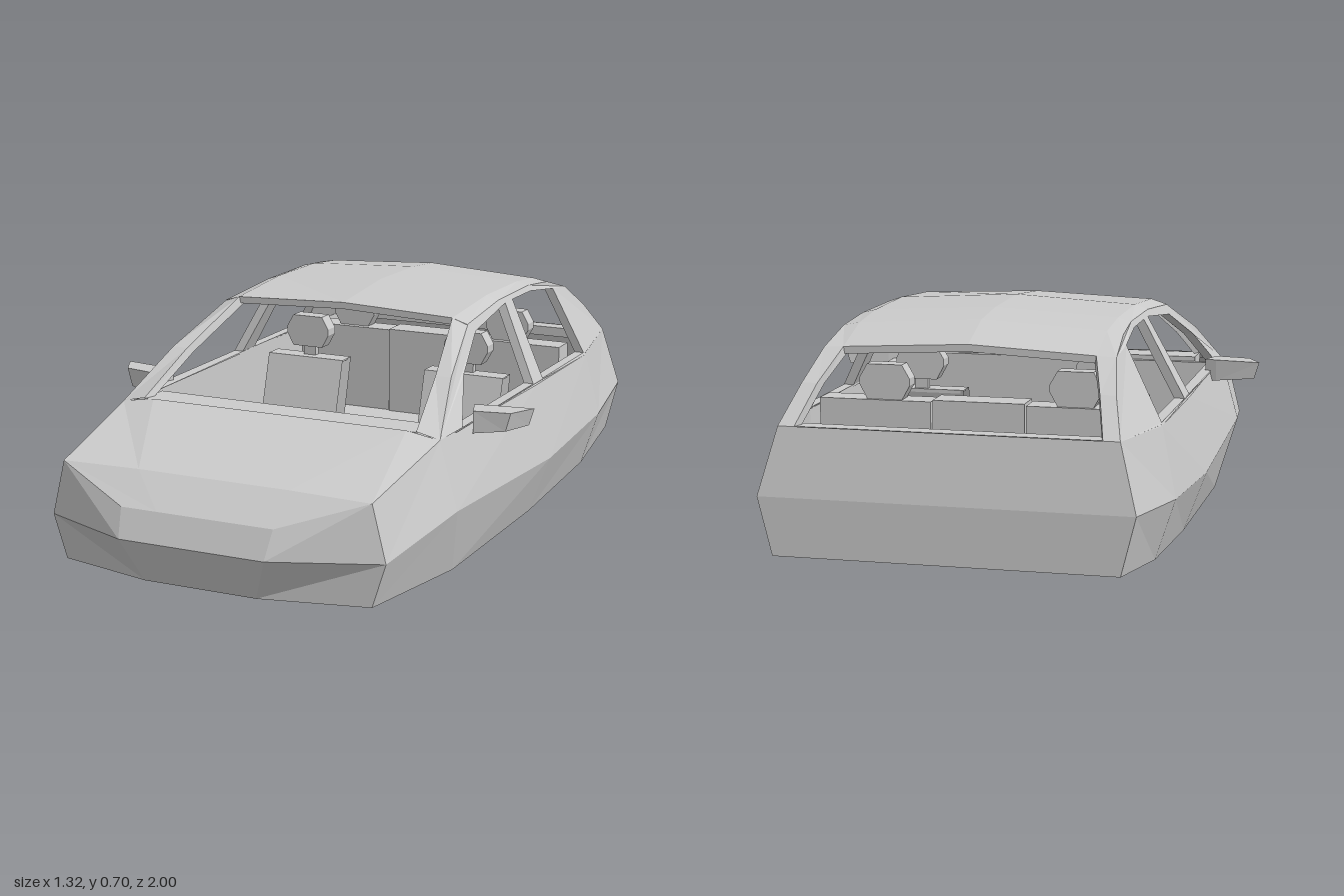
import * as THREE from 'three';

const mat = new THREE.MeshStandardMaterial({ color: 0xcccccc, flatShading: true, side: THREE.DoubleSide });
const flip = (p) => [-p[0], p[1], p[2]];

// Faceted sheet lofted through rows of points
function skin(rows) {
  const v = [];
  for (let i = 0; i + 1 < rows.length; i++) {
    for (let j = 0; j + 1 < rows[i].length; j++) {
      const a = rows[i][j], b = rows[i][j + 1], c = rows[i + 1][j + 1], d = rows[i + 1][j];
      v.push(...a, ...b, ...c, ...a, ...c, ...d);
    }
  }
  const g = new THREE.BufferGeometry();
  g.setAttribute('position', new THREE.Float32BufferAttribute(v, 3));
  g.computeVertexNormals();
  return g;
}

const outline = (pts) => pts.map((p) => new THREE.Vector2(p[0], p[1]));

// Half-width of the glasshouse: leans in with height, narrows at both ends
function sideX(z, y) {
  const taper = z < -0.65 ? 1 + (z + 0.65) * 0.28 : z > 0.35 ? 1 - (z - 0.35) * 0.12 : 1;
  return (0.51 - (y - 0.42) * 0.5) * taper;
}
const onSide = (z, y) => [sideX(z, y), y, z];

export function createModel() {
  const car = new THREE.Group();
  car.name = 'car';
  const add = (name, geo, parent = car) => {
    const m = new THREE.Mesh(geo, mat);
    m.name = name;
    parent.add(m);
    return m;
  };
  const pair = (name, geo) => {
    add(name + 'Left', geo);
    add(name + 'Right', geo).scale.x = -1;
  };
  const box = (name, x0, x1, y0, y1, z0, z1, parent = car) => {
    const g = new THREE.BoxGeometry(x1 - x0, y1 - y0, z1 - z0);
    g.translate((x0 + x1) / 2, (y0 + y1) / 2, (z0 + z1) / 2);
    return add(name, g, parent);
  };

  // Lower body stations: sill, widest line, shoulder
  const stations = [
    [[0.17, 0.06, 0.95], [0.22, 0.185, 1], [0.23, 0.265, 0.965]],
    [[0.47, 0.055, 0.87], [0.51, 0.18, 0.87], [0.47, 0.34, 0.87]],
    [[0.5, 0.018, 0.4], [0.555, 0.225, 0.5], onSide(0.5, 0.42)],
    [[0.5, 0.02, -0.2], [0.565, 0.195, -0.2], onSide(-0.2, 0.415)],
    [[0.5, 0.05, -0.67], [0.555, 0.22, -0.67], onSide(-0.65, 0.415)],
    [[0.47, 0.085, -1], [0.51, 0.245, -1], onSide(-0.965, 0.43)],
  ];
  pair('bodySide', skin(stations));
  add('floorPan', skin(stations.map(([b]) => [b, flip(b)])));
  add('frontBumper', skin([stations[0], stations[0].map(flip)]));
  add('tailgate', skin([stations[5], stations[5].map(flip)]));

  // Bonnet with a slightly raised centre
  const crown = [[0.12, 0.265, 0.965], [0.23, 0.345, 0.87], [0.4, 0.436, 0.5]];
  add('bonnet', skin(crown.map((t, i) => [stations[i][2], t, flip(t), flip(stations[i][2])])));

  // Side frames with two window openings, bent to the glasshouse lean
  const frame = new THREE.Shape(outline([
    [0.5, 0.42], [0.3, 0.545], [0.06, 0.645], [-0.2, 0.665], [-0.45, 0.665], [-0.6, 0.65],
    [-0.74, 0.61], [-0.86, 0.53], [-0.965, 0.43], [-0.65, 0.415], [-0.2, 0.415],
  ]));
  frame.holes.push(
    new THREE.Path(outline([[0.36, 0.422], [0.22, 0.535], [0.03, 0.62], [-0.24, 0.65], [-0.19, 0.422]])),
    new THREE.Path(outline([[-0.27, 0.422], [-0.3, 0.65], [-0.45, 0.648], [-0.62, 0.625], [-0.64, 0.422]])),
  );
  const side = new THREE.ExtrudeGeometry(frame, { depth: 0.03, bevelEnabled: false });
  const p = side.attributes.position;
  for (let i = 0; i < p.count; i++) {
    const z = p.getX(i), y = p.getY(i);
    p.setXYZ(i, sideX(z, y) - p.getZ(i), y, z);
  }
  side.computeVertexNormals();
  pair('windowFrame', side);

  // Roof: z, rail height, edge height, centre height
  const roof = [
    [0.065, 0.645, 0.66, 0.674], [-0.2, 0.665, 0.678, 0.697], [-0.45, 0.665, 0.674, 0.692],
    [-0.6, 0.65, 0.658, 0.678], [-0.74, 0.61, 0.612, 0.63],
  ];
  const roofRow = ([z, rail, edge, mid], drop) => {
    const half = [onSide(z, rail), [0.35, edge - drop, z]];
    return [...half, [0, mid - drop, z], ...half.map(flip).reverse()];
  };
  add('roof', skin(roof.map((r) => roofRow(r, 0))));
  add('headliner', skin(roof.map((r) => roofRow(r, 0.02))));
  for (const [name, r] of [['roofFrontEdge', roof[0]], ['roofRearEdge', roof[4]]])
    add(name, skin([roofRow(r, 0), roofRow(r, 0.02)]));

  // Windscreen and rear window pillars
  pair('windscreenPillar', skin([
    [onSide(0.5, 0.42), [0.43, 0.436, 0.5], [0.42, 0.425, 0.48]],
    [onSide(0.3, 0.545), [0.4, 0.545, 0.3], [0.39, 0.53, 0.28]],
    [onSide(0.06, 0.645), [0.35, 0.66, 0.065], [0.34, 0.64, 0.05]],
  ]));
  pair('rearPillar', skin([
    [onSide(-0.74, 0.61), [0.35, 0.612, -0.74], [0.34, 0.6, -0.72]],
    [onSide(-0.86, 0.53), [0.385, 0.53, -0.86], [0.375, 0.525, -0.83]],
    [onSide(-0.965, 0.43), [0.415, 0.43, -0.965], [0.405, 0.43, -0.93]],
  ]));

  // Cabin lining
  pair('doorLining', skin([
    [onSide(0.4, 0.418), [0.48, 0.418, 0.4], [0.47, 0.04, 0.4]],
    [onSide(-0.65, 0.418), [0.48, 0.418, -0.65], [0.47, 0.06, -0.65]],
    [onSide(-0.965, 0.43), [0.43, 0.43, -0.95], [0.43, 0.1, -0.95]],
  ]));
  box('dashboardTop', -0.43, 0.43, 0.4, 0.434, 0.4, 0.5);
  box('firewall', -0.47, 0.47, 0.03, 0.42, 0.38, 0.4);
  box('tailgateSill', -0.42, 0.42, 0.4, 0.43, -0.96, -0.91);
  box('bootFloor', -0.44, 0.44, 0.18, 0.2, -0.95, -0.66);

  // Centre tunnel, gear lever and open channel below the floor
  box('centreTunnel', -0.08, 0.08, 0.03, 0.12, -0.18, 0.3);
  add('tunnelRamp', skin([[[-0.08, 0.12, 0.3], [0.08, 0.12, 0.3]], [[-0.08, 0.18, 0.38], [0.08, 0.18, 0.38]]]));
  box('gearLever', -0.008, 0.008, 0.12, 0.2, 0.2, 0.23);
  for (const s of [-1, 1]) box('underfloorRail', s * 0.08 - 0.003, s * 0.08 + 0.003, 0, 0.05, -0.18, 0.74);
  box('underfloorCrossbar', -0.08, 0.08, 0, 0.03, -0.18, -0.175);

  // Seats
  const headrest = new THREE.ExtrudeGeometry(new THREE.Shape(outline([
    [-0.05, 0.45], [0.05, 0.45], [0.072, 0.49], [0.072, 0.51], [0.05, 0.548],
    [-0.05, 0.548], [-0.072, 0.51], [-0.072, 0.49],
  ])), { depth: 0.05, bevelEnabled: false });
  const leanBack = (z, w, top) => skin([-w, -w, w, w].map((x, i) => {
    const f = i === 0 || i === 3 ? 0 : 1;
    const k = f ? 1 : 0.9;
    return [[x * k, 0.12, z - 0.07 * (1 - f)], [x * k, 0.12, z], [x * k, top, z - 0.09],
      [x * k, top, z - 0.15], [x * k, 0.12, z - 0.07]];
  }));
  for (const s of [-1, 1]) {
    const seat = new THREE.Group();
    seat.name = s > 0 ? 'frontSeatLeft' : 'frontSeatRight';
    seat.position.x = s * 0.27;
    car.add(seat);
    box('cushion', -0.13, 0.13, 0.05, 0.17, -0.2, 0.08, seat);
    add('backrest', leanBack(-0.13, 0.13, 0.42), seat);
    box('backrestTop', -0.12, 0.12, 0.41, 0.42, -0.28, -0.22, seat);
    box('headrestPost', -0.02, 0.02, 0.41, 0.46, -0.27, -0.25, seat);
    add('headrest', headrest, seat).position.z = -0.285;
    const rear = add('rearHeadrest', headrest);
    rear.position.set(s * 0.27, 0, -0.63);
  }
  box('rearSeatCushion', -0.46, 0.46, 0.05, 0.18, -0.6, -0.33);
  box('rearSeatBackCentre', -0.13, 0.13, 0.12, 0.455, -0.64, -0.55);
  for (const s of [-1, 1]) box('rearSeatBack', s * 0.295 - 0.16, s * 0.295 + 0.16, 0.12, 0.45, -0.64, -0.56);

  // Door mirrors
  const mirror = new THREE.ExtrudeGeometry(new THREE.Shape(outline([
    [0.49, -0.23], [0.525, -0.22], [0.66, -0.2], [0.62, -0.28], [0.515, -0.3],
  ])), { depth: 0.06, bevelEnabled: false });
  mirror.rotateX(-Math.PI / 2);
  const q = mirror.attributes.position;
  for (let i = 0; i < q.count; i++) {
    const x = q.getX(i), low = q.getY(i) < 0.03;
    q.setXYZ(i, low && x > 0.6 ? x - 0.015 : x, low ? 0.39 + (x - 0.5) * 0.1 : 0.456, q.getZ(i));
  }
  mirror.computeVertexNormals();
  pair('doorMirror', mirror);

  return car;
}
